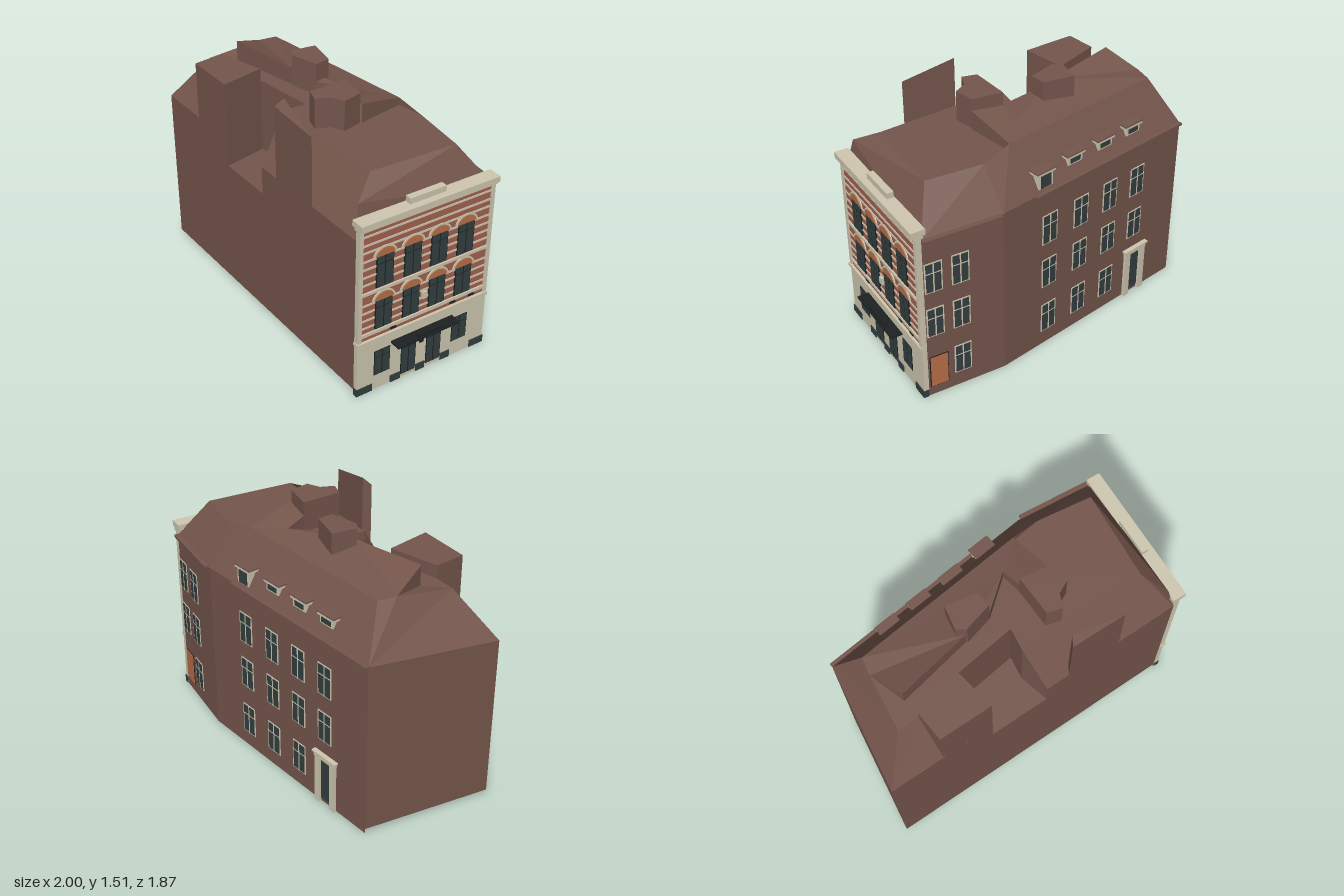
import * as THREE from 'three';

const material = (name, color, side = THREE.FrontSide) => {
  const m = new THREE.MeshStandardMaterial({ color, side });
  m.name = name;
  return m;
};

export function createModel() {
  const model = new THREE.Group();
  model.name = 'cornerTownhouse';
  const render = material('brownRender', 0x75564c, THREE.DoubleSide);
  const brick = material('redBrick', 0xa4624f);
  const cream = material('creamStone', 0xd0c8b1);
  const glass = material('darkGlass', 0x343f40);
  const black = material('blackTrim', 0x1d2222);
  const orange = material('orangeBrick', 0xbb7048);

  const add = (parent, name, geometry, mat) => {
    const mesh = new THREE.Mesh(geometry, mat);
    mesh.name = name;
    parent.add(mesh);
    return mesh;
  };
  const box = (parent, name, mat, u0, u1, y0, y1, z0, z1) =>
    add(parent, name, new THREE.BoxGeometry(u1 - u0, y1 - y0, z1 - z0), mat)
      .position.set((u0 + u1) / 2, (y0 + y1) / 2, (z0 + z1) / 2);

  // Upright prism over a plan outline of [x, z]; topAt may give a sloping top
  const prism = (name, plan, y0, y1, topAt) => {
    const shape = new THREE.Shape(plan.map(([x, z]) => new THREE.Vector2(x, -z)));
    const g = new THREE.ExtrudeGeometry(shape, { depth: y1 - y0, bevelEnabled: false });
    g.rotateX(-Math.PI / 2).translate(0, y0, 0);
    if (topAt) {
      const p = g.attributes.position;
      for (let i = 0; i < p.count; i++) if (p.getY(i) > y0 + 0.01) p.setY(i, topAt(p.getX(i)));
      g.computeVertexNormals();
    }
    add(model, name, g, render);
  };

  // Flat facets, each a fan of [x, y, z] corners
  const facets = (name, faces) => {
    const v = [];
    for (const f of faces)
      for (let i = 1; i < f.length - 1; i++) v.push(...f[0], ...f[i], ...f[i + 1]);
    const g = new THREE.BufferGeometry();
    g.setAttribute('position', new THREE.Float32BufferAttribute(v, 3));
    g.computeVertexNormals();
    add(model, name, g, render);
  };

  // Local frame of a wall: x runs along it, z points outwards
  const wallFrame = (name, [x0, z0], [x1, z1]) => {
    const g = new THREE.Group();
    g.name = name;
    g.position.set(x0, 0, z0);
    g.rotation.y = Math.atan2(z0 - z1, x1 - x0);
    model.add(g);
    return g;
  };

  // Plan corners and the light well in the left wall
  const A = [-1, -0.47], B = [-0.38, -0.92], C = [0.66, -0.06], D = [0.955, 0.312], E = [0.3, 0.882];
  const well = [[-0.55, -0.002], [-0.39, -0.22], [-0.09, 0.02], [-0.2, 0.1], [-0.3, 0.258]];
  const at = ([x, z], y) => [x, y, z];
  const wall = (p, q, p0, q0, p1, q1) => [at(p, p0), at(q, q0), at(q, q1), at(p, p1)];
  const sill = 0.845, eave = 1.02, high = 1.07;

  // Hollow walls, open underneath
  facets('outerWalls', [
    wall(A, E, 0.03, 0.03, sill, sill), wall(A, well[0], sill, sill, eave, eave),
    wall(well[4], E, sill, sill, eave, eave), wall(E, D, 0, 0, eave, high),
    wall(D, C, 0, 0, high, high), wall(C, B, 0, 0, high, high), wall(B, A, 0.03, 0.03, high, eave),
    [at(B, 0), at(B, 0.03), at(C, 0)],
  ]);
  const floor = well.map((p) => at(p, sill));
  facets('lightWellFloor', [[floor[2], floor[3], floor[4], floor[0], floor[1]]]);

  // Roof: slopes, flat lower level, raised level and lean-to
  const a = at(A, eave), b = at(B, high), c = at(C, high), d = at(D, high), e = at(E, eave);
  const K = [0.3, 1.21, 0.83], K2 = [0.33, 1.24, 0.72], H = [0.34, 1.3, 0.66], G2 = [0.755, 1.3, 0.33];
  const G1 = [0.56, 1.3, 0.06], G0 = [0.42, 1.345, -0.05], g0 = [0.42, 1.3, -0.05];
  const Bu = [-0.39, 1.34, -0.72], Q = [-0.48, 1.34, -0.66], Au = [-0.74, 1.3, -0.46], W = [-0.65, 1.3, -0.37];
  const M1 = [-0.575, 1.42, -0.46], M2 = [-0.2, 1.4, -0.2], J = [-0.05, 1.38, -0.1], M3 = [0.2, 1.365, -0.07];
  const [m1, m2, j, m3] = [M1, M2, J, M3].map(([x, , z]) => [x, 1.3, z]);
  const P = [0.13, 1.4, 0.03], S = [0.24, 1.415, 0.18], s = [0.24, 1.3, 0.18];
  const R2 = at(well[1], 1.3), N = at(well[2], 1.3), R4 = at(well[3], 1.3), R5 = at(well[4], eave);
  facets('roofSlopes', [
    [R5, e, H, R4], [e, K, K2], [e, K2, H], [K, e, d], [K, d, G2], [K, G2, H, K2],
    [d, c, G1, G2], [c, G0, G1], [G0, g0, G1], [c, b, Bu, G0],
    [b, a, Au, Q, Bu], [a, [-0.73, eave, -0.19], W, Au],
  ]);
  facets('flatRoof', [
    [Au, W, m1], [Au, m1, Q], [W, R2, m1], [R2, N, m2, m1], [N, m3, j, m2], [N, R4, m3],
    [R4, H, m3], [H, G2, m3], [G2, G1, m3], [G1, g0, m3],
  ]);
  facets('raisedRoof', [
    [Q, M1, M2], [Q, M2, Bu], [Bu, M2, M3], [Bu, M3, G0], [M2, J, M3],
    [Q, m1, M1], [m1, m2, M2, M1], [m2, j, J, M2], [j, m3, M3, J],
  ]);
  facets('leanToRoof', [[G0, M3, P], [G0, P, S], [g0, s, S, G0], [m3, [0.13, 1.3, 0.03], P, M3]]);
  facets('lightWellWalls', [
    wall(well[0], well[1], sill, sill, 1.375, 1.37), wall(well[1], well[2], sill, sill, 1.3, 1.3),
    wall(well[2], well[3], sill, sill, 1.3, 1.3), wall(well[3], well[4], sill, sill, 1.3, eave),
  ]);

  // Stacks rising through the roof
  prism('leftStack', [[-0.77, -0.231], well[0], well[1], [-0.65, -0.37]], eave, 1.375);
  prism('rearChimney', [[-0.21, -0.25], [-0.09, -0.33], [0.01, -0.17], [-0.05, -0.1], [-0.2, -0.19]], 1.3, 1.49);
  prism('frontChimney', [[0.13, 0.03], [-0.04, 0.2], [0, 0.28], [0.08, 0.25], [0.16, 0.28], [0.23, 0.18]], 1.25, 1.48);
  prism('leftParapet', [[-0.2, 0.362], [0.035, 0.607], [-0.15, 0.35]], eave, 1.5,
    (x) => (x < -0.18 ? 1.465 : x < 0 ? 1.51 : 1.44));

  // Sash window: pale frame, dark pane, pale bars
  const sash = (parent, u, w, y0, y1) => {
    const g = new THREE.Group();
    g.name = 'sashWindow';
    parent.add(g);
    const h = w / 2, yt = y0 + (y1 - y0) * 0.66;
    box(g, 'windowFrame', cream, u - h, u + h, y0, y1, -0.01, 0.003);
    box(g, 'windowPane', glass, u - h + 0.008, u + h - 0.008, y0 + 0.007, y1 - 0.007, -0.01, 0.005);
    box(g, 'windowMullion', cream, u - 0.004, u + 0.004, y0, y1, -0.01, 0.006);
    box(g, 'windowTransom', cream, u - h, u + h, yt - 0.003, yt + 0.003, -0.01, 0.006);
  };
  const rows = [[0.095, 0.29], [0.42, 0.612], [0.72, 0.915]];

  // Short side wall beside the facade
  const side = wallFrame('sideWallDetails', D, C);
  const sideLength = Math.hypot(D[0] - C[0], D[1] - C[1]);
  const sideU = (z) => ((D[1] - z) / (D[1] - C[1])) * sideLength;
  rows.forEach(([y0, y1], i) => {
    sash(side, sideU(0.145), 0.104, y0, y1);
    if (i) sash(side, sideU(0.268), 0.104, y0, y1);
  });
  box(side, 'sideDoorFrame', black, sideU(0.304), sideU(0.216), 0.06, 0.275, -0.01, 0.003);
  box(side, 'sideDoor', orange, sideU(0.3), sideU(0.22), 0.065, 0.27, -0.01, 0.006);
  box(side, 'sideEaves', render, 0, sideLength - 0.02, 1.06, 1.075, -0.02, 0.025);

  // Long right wall
  const long = wallFrame('longWallDetails', C, B);
  const longLength = Math.hypot(C[0] - B[0], C[1] - B[1]);
  const longU = (z) => ((C[1] - z) / (C[1] - B[1])) * longLength;
  [-0.27, -0.42, -0.565, -0.705].forEach((z, column) =>
    rows.forEach(([y0, y1], i) => {
      if (column < 3 || i) sash(long, longU(z), 0.11, y0, y1);
    }));
  const du = longU(-0.715);
  for (const k of [-1, 1])
    box(long, 'doorPilaster', cream, du + k * 0.062 - 0.019, du + k * 0.062 + 0.019, 0, 0.31, -0.01, 0.02);
  box(long, 'doorLintel', cream, du - 0.085, du + 0.085, 0.305, 0.33, -0.01, 0.022);
  box(long, 'doorCap', cream, du - 0.095, du + 0.095, 0.33, 0.34, -0.01, 0.028);
  box(long, 'rearDoor', glass, du - 0.044, du + 0.044, 0.02, 0.305, -0.01, 0.003);
  box(long, 'longEaves', render, 0.22, longLength, 1.062, 1.075, -0.02, 0.02);

  // Dormers on the long slope
  [-0.235, -0.385, -0.53, -0.67].forEach((z, i) => {
    const u = longU(z) + 0.03, y0 = i ? 1.132 : 1.085, h = 0.052, front = i ? -0.032 : -0.012;
    box(long, 'dormerBody', cream, u - h, u + h, y0, 1.188, -0.1, front);
    box(long, 'dormerPane', glass, u - 0.036, u + 0.036, y0 + 0.01, 1.172, front, front + 0.004);
    box(long, 'dormerFascia', cream, u - 0.066, u + 0.066, 1.178, 1.193, -0.08, front + 0.008);
    box(long, 'dormerRoof', render, u - 0.068, u + 0.068, 1.193, 1.201, -0.11, front + 0.01);
  });

  // Facade: stone ground floor, brick upper floors, pale edges
  const facade = wallFrame('facade', [0.32, 0.905], [0.975, 0.335]);
  const L = 0.868;
  box(facade, 'groundFloorStone', cream, 0, L, 0, 0.35, -0.03, 0);
  box(facade, 'brickFace', brick, 0.02, L - 0.02, 0.35, 1.09, -0.03, -0.004);
  for (const u of [0, L - 0.024]) box(facade, 'edgePilaster', cream, u, u + 0.024, 0.35, 1.09, -0.03, 0.004);
  box(facade, 'stringCourse', cream, -0.006, L + 0.002, 0.348, 0.368, -0.03, 0.012);
  box(facade, 'corniceBase', cream, -0.004, L + 0.002, 1.085, 1.105, -0.04, 0.014);
  box(facade, 'cornice', cream, -0.008, L + 0.004, 1.105, 1.14, -0.055, 0.03);
  box(facade, 'cornicePanel', cream, 0.315, 0.545, 1.14, 1.175, -0.05, -0.01);
  for (const y of [0.398, 0.455, 0.505, 0.555, 0.605, 0.74, 0.79, 0.84, 0.89, 0.945, 0.99, 1.045])
    box(facade, 'stoneStripe', cream, 0.02, L - 0.02, y - 0.006, y + 0.006, -0.01, 0);
  for (const y of [0.41, 0.682])
    box(facade, 'sillCourse', cream, 0.02, L - 0.02, y - 0.009, y + 0.009, -0.01, 0.006);

  // Dark opening with bars
  const opening = (name, u, w, y0, y1) => {
    const h = w / 2, yt = y0 + (y1 - y0) * 0.74;
    box(facade, name + 'Frame', black, u - h, u + h, y0, y1, -0.01, 0.003);
    for (const k of [-1, 1])
      for (const [p, q] of [[y0, yt], [yt, y1]])
        box(facade, name + 'Pane', glass, u + k * h / 2 - h / 2 + 0.004, u + k * h / 2 + h / 2 - 0.004,
          p + 0.004, q - 0.003, -0.01, 0.005);
  };
  const arch = (name, mat, u, y, rx, ry, z) => {
    const shape = new THREE.Shape().absellipse(0, 0, rx, ry, 0, Math.PI, false);
    add(facade, name, new THREE.ExtrudeGeometry(shape,
      { depth: z + 0.01, bevelEnabled: false, curveSegments: 12 }), mat).position.set(u, y, -0.01);
  };
  const columns = [0.163, 0.341, 0.513, 0.69];
  for (const u of columns)
    for (const [y0, y1] of [[0.425, 0.618], [0.7, 0.902]]) {
      opening('archedWindow', u, 0.108, y0, y1);
      arch('archHood', cream, u, y1 - 0.008, 0.074, 0.06, 0.002);
      arch('archBrick', orange, u, y1 - 0.004, 0.06, 0.046, 0.006);
    }

  // Ground-floor openings, plinth blocks and fittings
  for (const u of [columns[0], columns[3]]) opening('shopWindow', u, 0.104, 0.1, 0.268);
  for (const u of [columns[1], columns[2]]) opening('entranceDoor', u, 0.1, 0.022, 0.268);
  for (const [u0, u1] of [[-0.004, 0.1], [0.222, 0.288], [0.395, 0.455], [0.567, 0.63], [0.775, L + 0.004]])
    box(facade, 'plinthBlock', glass, u0, u1, 0, 0.046, -0.028, 0.006);
  box(facade, 'canopy', black, 0.22, 0.635, 0.283, 0.294, -0.01, 0.07);
  box(facade, 'canopyBoard', black, 0.362, 0.53, 0.294, 0.31, 0.03, 0.06);
  box(facade, 'noticeBoard', black, 0.414, 0.44, 0.197, 0.235, -0.01, 0.008);
  box(facade, 'wallPlaque', cream, 0.412, 0.444, 0.505, 0.55, -0.01, 0.012);
  for (const u of [0.23, 0.63, 0.76])
    box(facade, 'wallAnchor', black, u - 0.018, u + 0.018, 0.382, 0.394, -0.01, 0.006);

  return model;
}
